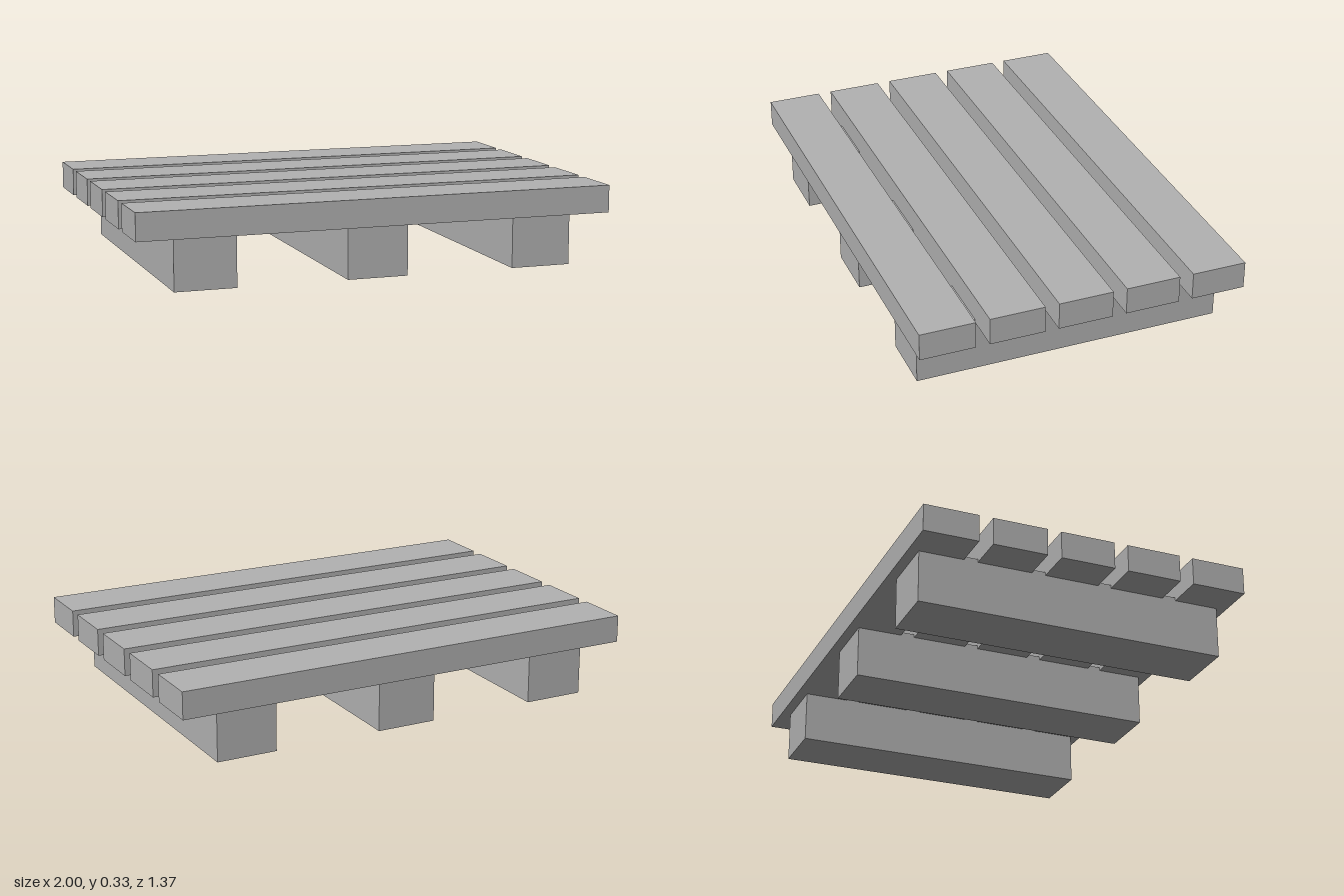
import * as THREE from 'three';

export function createModel() {
  const pallet = new THREE.Group();
  pallet.name = 'pallet';

  const grey = new THREE.MeshStandardMaterial({ color: 0xb2b2b2 });
  grey.name = 'grey';

  function addBox(name, width, height, depth, x, bottom, z) {
    const mesh = new THREE.Mesh(new THREE.BoxGeometry(width, height, depth), grey);
    mesh.name = name;
    mesh.position.set(x, bottom + height / 2, z);
    pallet.add(mesh);
  }

  // Three bearers running front to back
  for (let i = -1; i <= 1; i++) {
    addBox('bearer', 0.255, 0.229, 1.286, i * 0.714, 0, 0);
  }

  // Five deck boards across, sunk slightly over the bearers
  for (let i = -2; i <= 2; i++) {
    addBox('deckBoard', 2, 0.114, 0.228, 0, 0.215, i * 0.2855);
  }

  return pallet;
}
